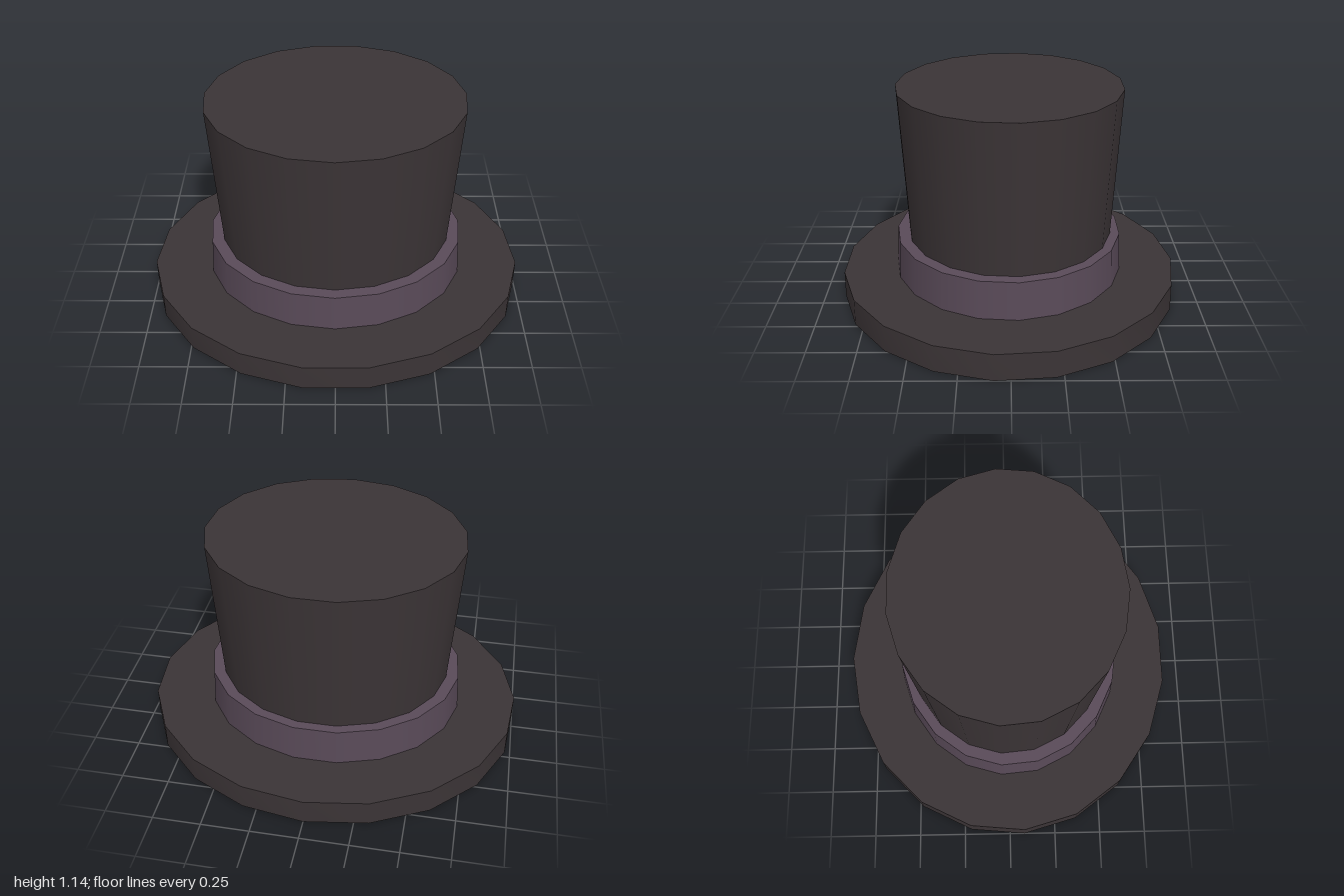
import * as THREE from 'three';
import { toCreasedNormals } from 'three/addons/utils/BufferGeometryUtils.js';

const SIDES = 19;

export function createModel() {
  const hat = new THREE.Group();
  hat.name = 'topHat';
  const felt = new THREE.MeshStandardMaterial({ color: 0x3b3436 });
  const ribbon = new THREE.MeshStandardMaterial({ color: 0x594a58 });

  const add = (name, geometry, material, x = 0, z = 0) => {
    const mesh = new THREE.Mesh(geometry, material);
    mesh.name = name;
    mesh.position.set(x, 0, z);
    hat.add(mesh);
  };

  // Tapered oval drum between two heights, with a corner at the front
  const ovalDrum = (topRadius, bottomRadius, y0, y1, depth) =>
    new THREE.CylinderGeometry(topRadius, bottomRadius, y1 - y0, SIDES)
      .scale(1, 1, depth)
      .translate(0, (y0 + y1) / 2, 0);

  // Brim: thick oval ring with the head opening, with a corner at the back
  const section = [[0.6, 0], [1.003, 0], [1.003, 0.14], [0.6, 0.14], [0.6, 0]]
    .map(([r, y]) => new THREE.Vector2(r, y));
  const ring = new THREE.LatheGeometry(section, SIDES, Math.PI).scale(1, 1, 0.895);
  add('brim', toCreasedNormals(ring, 0.7), felt, 0, 0.006);

  // Band: its underside closes the head opening
  add('band', ovalDrum(0.682, 0.692, 0.14, 0.34, 0.882), ribbon, -0.003, 0.008);

  // Crown: widens toward the flat top
  add('crown', ovalDrum(0.67, 0.617, 0.34, 1.14, 0.884), felt, -0.003, 0.002);

  return hat;
}
